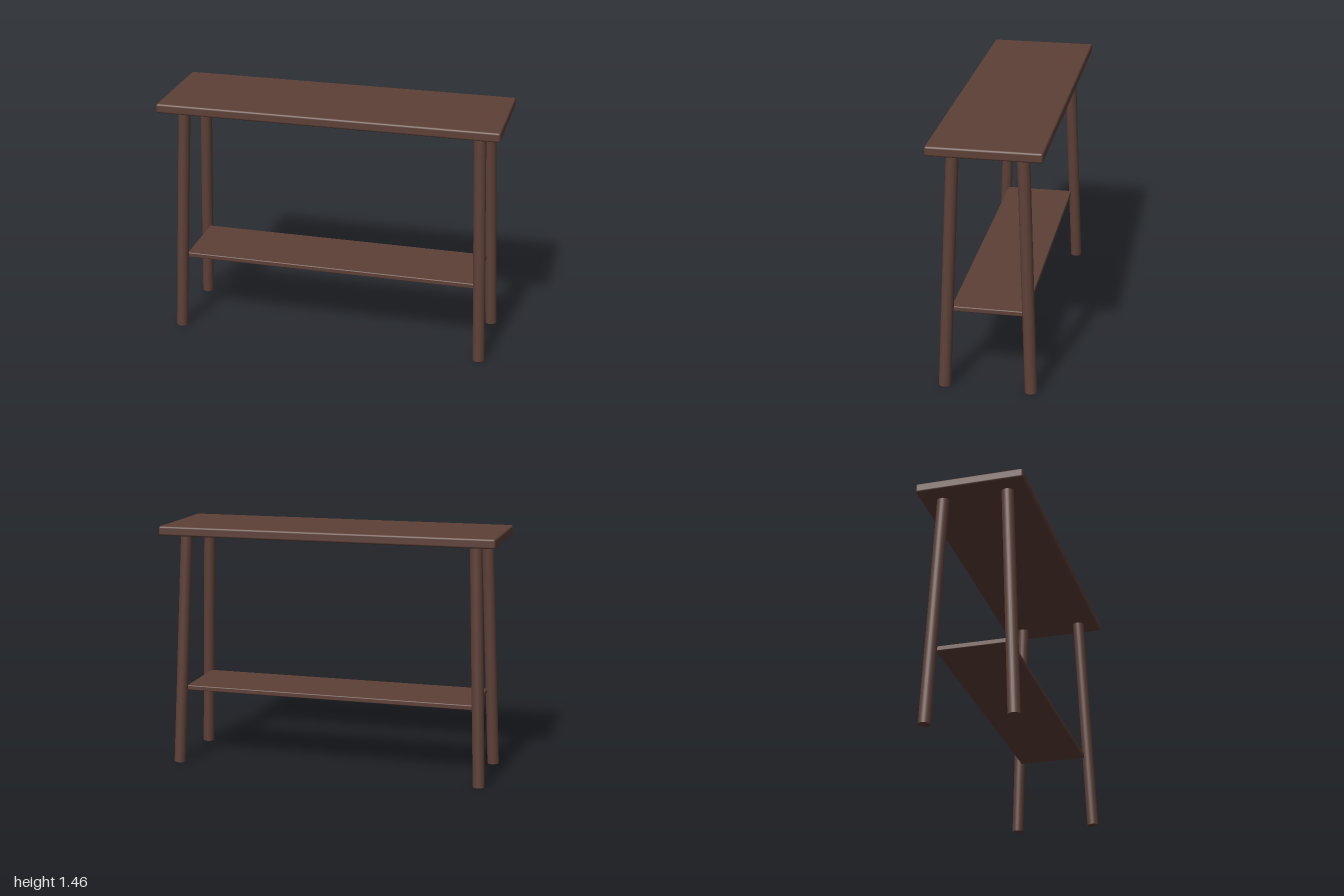
import * as THREE from 'three';
import { RoundedBoxGeometry } from 'three/addons/geometries/RoundedBoxGeometry.js';

export function createModel() {
  const table = new THREE.Group();
  table.name = 'consoleTable';
  const wood = new THREE.MeshStandardMaterial({ color: 0x5d4037 });
  wood.name = 'dark brown wood';

  // Horizontal board with softly eased edges
  function addBoard(name, width, height, depth, bottom, edge) {
    const board = new THREE.Mesh(new RoundedBoxGeometry(width, height, depth, 2, edge), wood);
    board.name = name;
    board.position.y = bottom + height / 2;
    table.add(board);
  }
  addBoard('tableTop', 2, 0.056, 0.63, 1.4, 0.012);
  addBoard('lowerShelf', 1.77, 0.03, 0.42, 0.445, 0.006);

  // Round leg splayed outwards in both directions
  const up = new THREE.Vector3(0, 1, 0);
  function addLeg(name, sx, sz) {
    const foot = new THREE.Vector3(sx * 0.926, 0.002, sz * 0.246);
    const head = new THREE.Vector3(sx * 0.87, 1.403, sz * 0.191);
    const axis = head.clone().sub(foot);
    const leg = new THREE.Mesh(new THREE.CylinderGeometry(0.035, 0.035, axis.length(), 24), wood);
    leg.name = name;
    leg.position.copy(foot).add(head).multiplyScalar(0.5);
    leg.quaternion.setFromUnitVectors(up, axis.normalize());
    table.add(leg);
  }
  for (const sx of [-1, 1]) {
    for (const sz of [-1, 1]) {
      addLeg((sz > 0 ? 'front' : 'back') + (sx > 0 ? 'Left' : 'Right') + 'Leg', sx, sz);
    }
  }
  return table;
}
